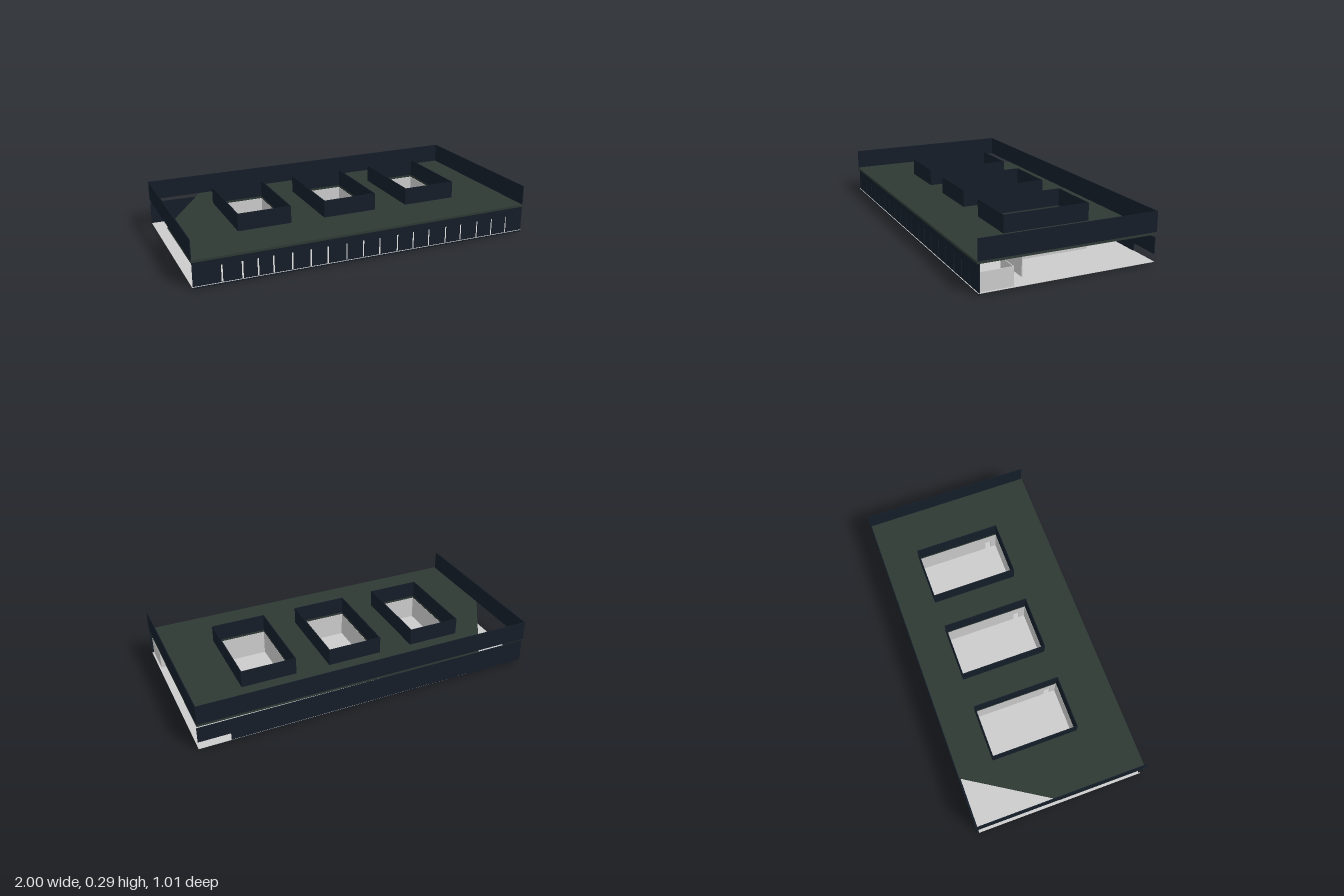
import * as THREE from 'three';

const material = (color) => new THREE.MeshStandardMaterial({ color, side: THREE.DoubleSide, flatShading: true });
const GREY = material(0xcccccc);
const NAVY = material(0x141d28);
const GREEN = material(0x2e3934);

const FLOOR = 0.012;
const T = 0.005; // wall thickness
const COURTS = [[-0.66, -0.36], [-0.15, 0.16], [0.37, 0.68]];
const COURT_BACK = -0.285, COURT_FRONT = 0.215;

// Box given by its lower and upper limits on each axis
function block(name, mat, [x0, x1], [y0, y1], [z0, z1]) {
  const mesh = new THREE.Mesh(new THREE.BoxGeometry(x1 - x0, y1 - y0, z1 - z0), mat);
  mesh.position.set((x0 + x1) / 2, (y0 + y1) / 2, (z0 + z1) / 2);
  mesh.name = name;
  return mesh;
}

const polygon = (points, Type = THREE.Shape) => new Type(points.map(([a, b]) => new THREE.Vector2(a, b)));
const rect = (x0, x1, y0, y1) => [[x0, y0], [x1, y0], [x1, y1], [x0, y1]];

// Flat panel with cut-outs, drawn in the xy plane and extruded along z
function panel(name, mat, outline, holes, depth) {
  const shape = polygon(outline);
  shape.holes = holes.map((h) => polygon(h, THREE.Path));
  const mesh = new THREE.Mesh(new THREE.ExtrudeGeometry(shape, { depth, bevelEnabled: false }), mat);
  mesh.name = name;
  return mesh;
}

function createStorey() {
  const storey = new THREE.Group();
  storey.name = 'storey';
  storey.add(block('floor', GREY, [-1, 1], [FLOOR - 0.002, FLOOR], [-0.5, 0.502]));

  // Front wall with a row of narrow windows
  const windows = [-0.84, -0.73, -0.645, -0.56, -0.455, -0.35, -0.25, -0.14, -0.04,
    0.06, 0.17, 0.27, 0.37, 0.48, 0.58, 0.69, 0.79, 0.89];
  const slits = windows.map((x) => rect(x - 0.005, x + 0.005, FLOOR, 0.11));
  const front = panel('frontWall', NAVY, [[-0.995, 0], [1, 0], [1, 0.16], [-0.995, 0.147]], slits, T);
  front.position.z = 0.493;
  storey.add(front);

  // Back wall, raised off the floor at its +x end
  const back = panel('backWall', NAVY,
    [[-1, 0.008], [0.82, 0.008], [0.82, 0.055], [1, 0.055], [1, 0.145], [-1, 0.143]], [], T);
  back.position.z = -0.5;
  storey.add(back);

  // Corridor and end room partitions
  storey.add(block('corridorWall', GREY, [-0.86, 0.9], [FLOOR, 0.148], [0.219, 0.223]));
  storey.add(block('endPartition', GREY, [-0.86, -0.856], [FLOOR, 0.148], [0.223, 0.493]));
  storey.add(block('roomSideWall', GREY, [0.985, 0.989], [FLOOR, 0.115], [0.31, 0.493]));
  storey.add(block('roomBackWall', GREY, [0.85, 0.989], [FLOOR, 0.115], [0.31, 0.314]));

  // Courtyard walls, each with a door in the +x side
  for (const [x0, x1] of COURTS) {
    const court = new THREE.Group();
    court.name = 'courtyardWalls';
    const top = 0.154 + 0.0065 * x0;
    court.add(block('courtyardBackWall', GREY, [x0, x1], [FLOOR, top], [COURT_BACK - T, COURT_BACK]));
    court.add(block('courtyardFrontWall', GREY, [x0, x1], [FLOOR, top], [COURT_FRONT - 0.001, COURT_FRONT + 0.003]));
    court.add(block('courtyardRightWall', GREY, [x0 - T, x0], [FLOOR, top], [COURT_BACK, COURT_FRONT]));
    const doorWall = panel('courtyardDoorWall', GREY,
      [[-COURT_FRONT, FLOOR], [-0.18, FLOOR], [-0.18, 0.088], [-0.145, 0.088], [-0.145, FLOOR],
        [-COURT_BACK, FLOOR], [-COURT_BACK, top], [-COURT_FRONT, top]], [], T);
    doorWall.rotation.y = Math.PI / 2;
    doorWall.position.x = x1;
    court.add(doorWall);
    storey.add(court);
  }
  return storey;
}

function createRoof() {
  const roof = new THREE.Group();
  roof.name = 'roof';
  const bottom = 0.154, top = 0.167, rim = 0.28;

  // Slab with three courtyard openings and one cut-off back corner
  const openings = COURTS.map(([x0, x1]) => rect(x0, x1, -COURT_FRONT, -COURT_BACK));
  const slab = panel('roofSlab', GREEN,
    [[-1, -0.507], [1, -0.507], [1, 0.507], [-0.69, 0.507], [-1, 0.01]], openings, top - bottom);
  slab.rotation.x = -Math.PI / 2;
  slab.position.y = bottom;
  roof.add(slab);

  // Parapet on three sides, open along the front
  for (const [name, x] of [['rightParapet', -1], ['leftParapet', 1 - T]]) {
    roof.add(block(name, NAVY, [x, x + T], [top, rim], [-0.507, 0.503]));
  }
  roof.add(block('backParapet', NAVY, [-1, 1], [top, rim], [-0.507, -0.507 + T]));

  // Upstands around the courtyard openings
  for (const [x0, x1] of COURTS) {
    const curb = panel('courtyardUpstand', NAVY,
      rect(x0 - T, x1 + T, -COURT_FRONT - T, -COURT_BACK + T),
      [rect(x0, x1, -COURT_FRONT, -COURT_BACK)], 0.1);
    curb.rotation.x = -Math.PI / 2;
    curb.position.y = top;
    roof.add(curb);
  }

  roof.rotation.z = 0.0065; // slight fall toward -x
  return roof;
}

export function createModel() {
  const model = new THREE.Group();
  model.name = 'courtyardBuilding';
  model.add(createStorey(), createRoof());
  return model;
}
